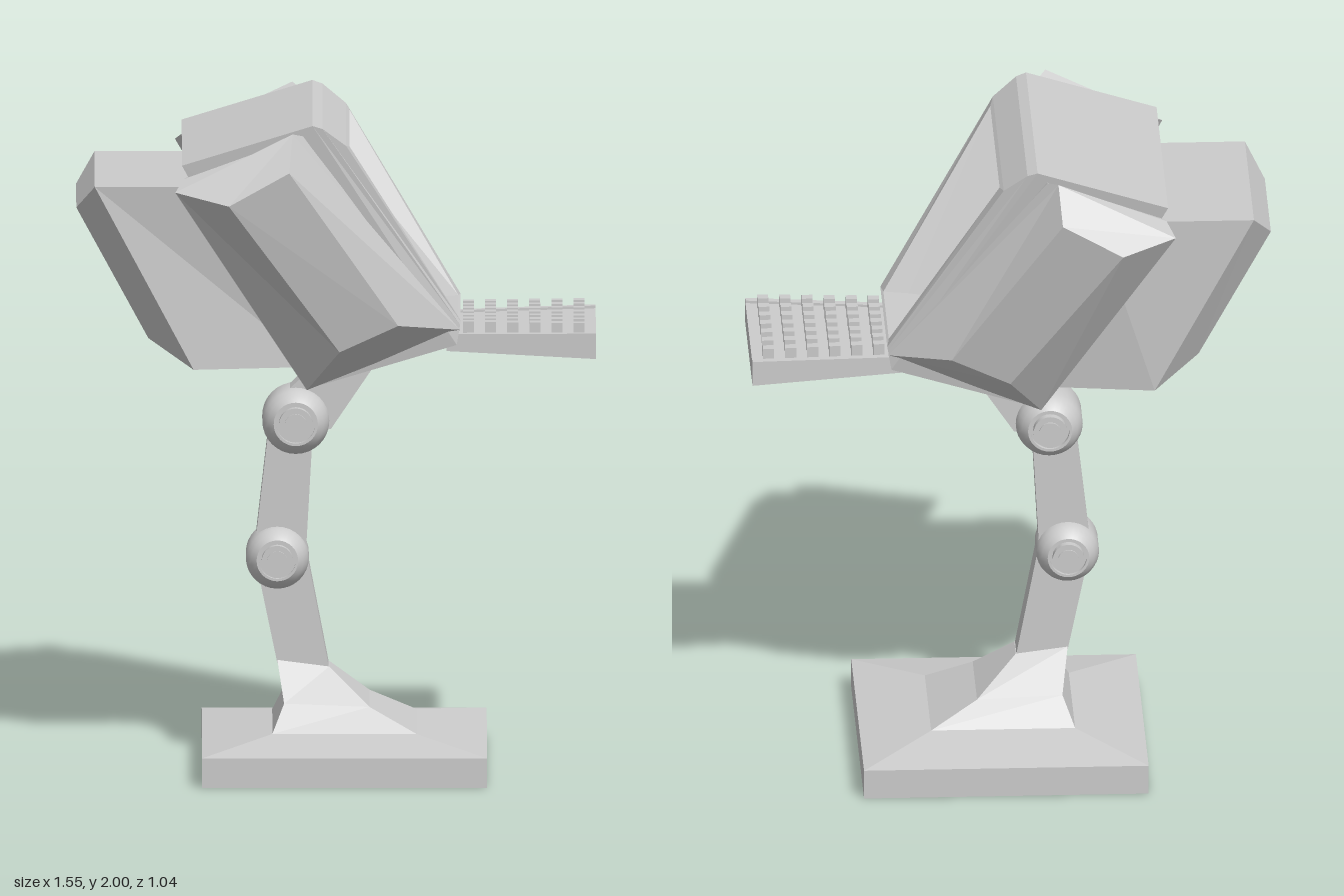
import * as THREE from 'three';
import { toCreasedNormals } from 'three/addons/utils/BufferGeometryUtils.js';

const flat = new THREE.MeshStandardMaterial({ color: 0xcccccc, flatShading: true });
const smooth = new THREE.MeshStandardMaterial({ color: 0xcccccc });

function add(parent, name, geometry, material = flat) {
  const mesh = new THREE.Mesh(geometry, material);
  mesh.name = name;
  parent.add(mesh);
  return mesh;
}

// Closed solid through rings of points, each counter-clockwise seen from ahead
function loft(rings) {
  const pos = [];
  const tri = (...p) => p.forEach((v) => pos.push(...v));
  const n = rings[0].length;
  for (let r = 0; r + 1 < rings.length; r++) {
    const a = rings[r], b = rings[r + 1];
    for (let i = 0; i < n; i++) {
      const j = (i + 1) % n;
      tri(a[i], a[j], b[j]);
      tri(a[i], b[j], b[i]);
    }
  }
  const first = rings[0], last = rings[rings.length - 1];
  for (let i = 1; i + 1 < n; i++) {
    tri(last[0], last[i], last[i + 1]);
    tri(first[0], first[i + 1], first[i]);
  }
  const g = new THREE.BufferGeometry();
  g.setAttribute('position', new THREE.Float32BufferAttribute(pos, 3));
  g.computeVertexNormals();
  return g;
}

// Four-sided ring facing +x: top edge and bottom edge with their half widths
const frontRing = (xt, yt, zt, xb, yb, zb) =>
  [[xt, yt, -zt], [xt, yt, zt], [xb, yb, zb], [xb, yb, -zb]];

// Four-sided ring facing up, optionally slanted along x
const floorRing = (x0, x1, z, y0, y1 = y0) =>
  [[x1, y1, -z], [x0, y0, -z], [x0, y0, z], [x1, y1, z]];

// Bar with a side outline in x and y, centred on z
function bar(points, depth) {
  const shape = new THREE.Shape(points.map(([x, y]) => new THREE.Vector2(x, y)));
  return new THREE.ExtrudeGeometry(shape, { depth, bevelEnabled: false })
    .translate(0, 0, -depth / 2);
}

export function createModel() {
  const model = new THREE.Group();
  model.name = 'computerTerminal';

  // Square foot rising into a concave neck
  add(model, 'base', loft([
    floorRing(-0.4, 0.45, 0.425, 0),
    floorRing(-0.4, 0.45, 0.425, 0.09),
    floorRing(-0.19, 0.24, 0.21, 0.125),
    floorRing(-0.155, 0.1, 0.145, 0.205, 0.195),
    floorRing(-0.175, -0.02, 0.047, 0.32, 0.3),
  ]));

  // Jointed arm
  const arm = new THREE.Group();
  arm.name = 'arm';
  model.add(arm);
  add(arm, 'lowerArm', bar([[-0.175, 0.31], [-0.02, 0.29], [-0.085, 0.63], [-0.16, 0.68], [-0.235, 0.6]], 0.094));
  add(arm, 'upperArm', bar([[-0.24, 0.68], [-0.175, 0.6], [-0.09, 0.64], [-0.07, 1.0], [-0.12, 1.06], [-0.2, 1.03]], 0.094));
  add(arm, 'headBracket', bar([[-0.18, 1.1], [-0.12, 1.0], [-0.015, 1.02], [0.14, 1.25], [-0.03, 1.25]], 0.09));

  // Rounded joints with a grooved hub on each side
  const half = [[0.1, 0.05], [0.095, 0.068], [0.083, 0.092], [0.066, 0.108], [0.058, 0.108],
    [0.058, 0.095], [0.05, 0.095], [0.05, 0.118], [0.033, 0.118], [0.033, 0.124], [0, 0.124]];
  const profile = [...half.map(([r, h]) => [r, -h]).reverse(), ...half]
    .map(([r, h]) => new THREE.Vector2(r, h));
  for (const [name, x, y, s] of [['lowerJoint', -0.175, 0.63, 0.94], ['upperJoint', -0.12, 1.045, 1]]) {
    const g = new THREE.LatheGeometry(profile, 32).rotateX(Math.PI / 2).scale(s, s, s).translate(x, y, 0);
    add(arm, name, toCreasedNormals(g, 0.6), smooth);
  }

  // Tilted monitor: casing, bevelled bezel, recess, and screen as the last face
  const monitor = new THREE.Group();
  monitor.name = 'monitor';
  model.add(monitor);
  add(monitor, 'casingAndScreen', loft([
    frontRing(-0.46, 1.88, 0.385, -0.09, 1.175, 0.24),
    frontRing(-0.07, 2.0, 0.385, 0.36, 1.31, 0.24),
    frontRing(-0.04, 1.99, 0.38, 0.37, 1.37, 0.235),
    frontRing(0.03, 1.935, 0.36, 0.372, 1.38, 0.23),
    frontRing(0.04, 1.925, 0.31, 0.365, 1.385, 0.18),
    frontRing(-0.04, 1.875, 0.275, 0.29, 1.38, 0.175),
    frontRing(-0.1, 1.79, 0.235, 0.2, 1.375, 0.155),
  ]));

  // Rear housing with chamfered back
  add(monitor, 'rearHousing', loft([
    frontRing(-0.775, 1.72, 0.2, -0.56, 1.32, 0.18),
    frontRing(-0.72, 1.8, 0.3, -0.425, 1.24, 0.27),
    frontRing(-0.25, 1.8, 0.3, -0.06, 1.24, 0.22),
  ]));

  // Faceted side pods, mirrored across z
  const podRings = [
    [[-0.44, 1.84, 0.34], [-0.075, 1.2, 0.18], [0.34, 1.33, 0.18], [-0.09, 1.96, 0.34]],
    [[-0.455, 1.84, 0.39], [-0.08, 1.19, 0.22], [0.355, 1.34, 0.22], [-0.1, 1.97, 0.39]],
    [[-0.48, 1.81, 0.45], [-0.087, 1.175, 0.25], [0.37, 1.355, 0.235], [-0.13, 1.985, 0.44]],
    [[-0.32, 1.78, 0.52], [0.01, 1.31, 0.365], [0.185, 1.39, 0.365], [-0.14, 1.88, 0.515]],
  ];
  add(monitor, 'leftPod', loft(podRings));
  add(monitor, 'rightPod', loft(podRings.map((ring) => ring.map(([x, y, z]) => [x, y, -z]).reverse())));

  // Keyboard tray flaring outward, with side rims
  const keyboard = new THREE.Group();
  keyboard.name = 'keyboard';
  model.add(keyboard);
  add(keyboard, 'tray', loft([
    frontRing(0.33, 1.33, 0.205, 0.33, 1.285, 0.205),
    frontRing(0.775, 1.337, 0.245, 0.775, 1.268, 0.245),
  ]));
  for (const side of [-1, 1]) {
    const rim = (x, y, z) => [[x, y, side * z - 0.011], [x, y, side * z + 0.011],
      [x, 1.3, side * z + 0.011], [x, 1.3, side * z - 0.011]];
    add(keyboard, side > 0 ? 'leftRim' : 'rightRim', loft([rim(0.36, 1.337, 0.197), rim(0.775, 1.345, 0.234)]));
  }

  // Grid of keys spreading with the tray
  for (let c = 0; c < 6; c++) {
    for (let r = -3; r <= 3; r++) {
      const x = 0.395 + c * 0.066;
      const z = r * (0.057 + c * 0.0015);
      add(keyboard, 'key', new THREE.BoxGeometry(0.033, 0.045, 0.03).translate(x, 1.348, z));
    }
  }
  return model;
}
